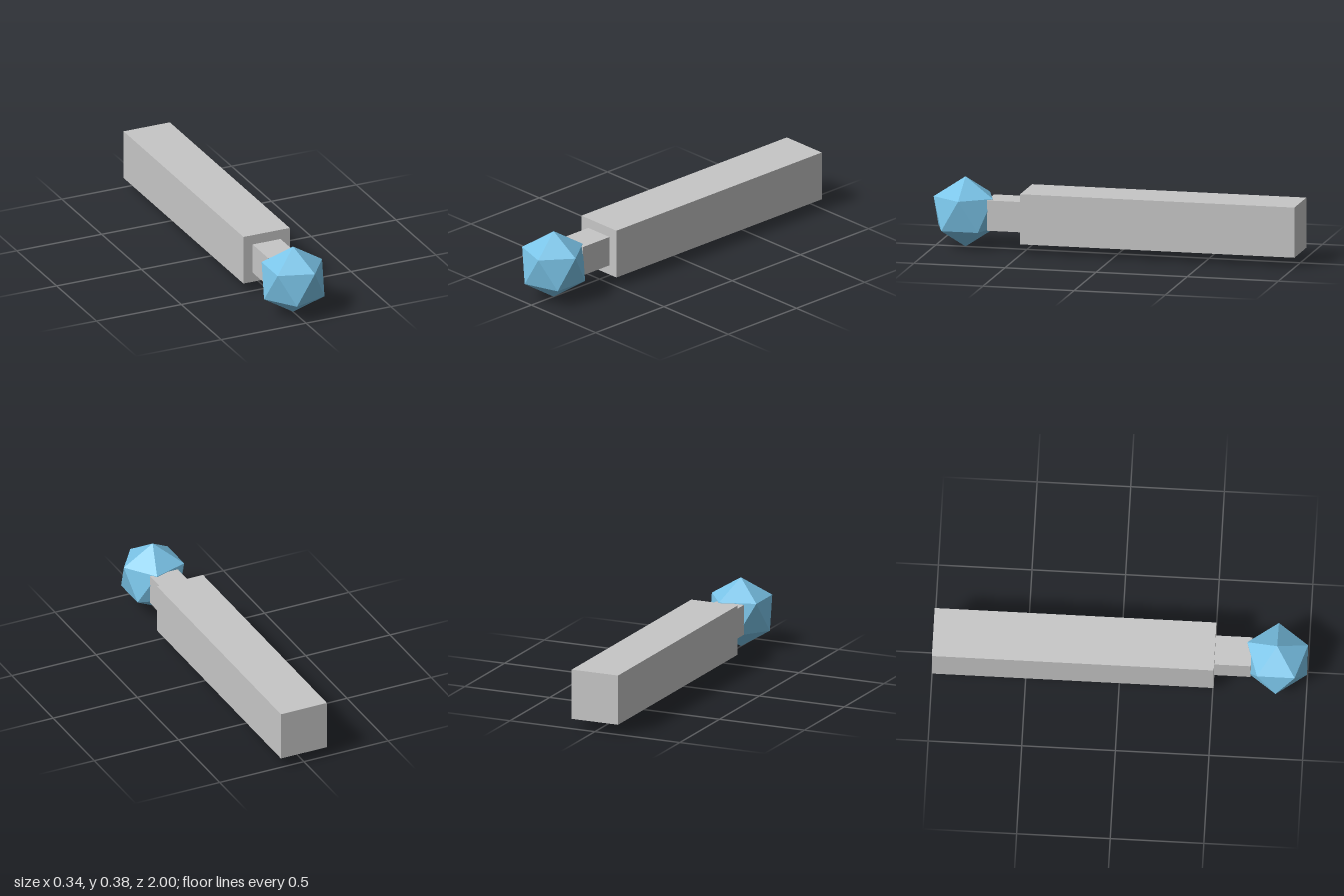
import * as THREE from 'three';

export function createModel() {
  const model = new THREE.Group();
  const grey = new THREE.MeshStandardMaterial({ color: 0xc6c6c6 });
  grey.name = 'light grey';
  const blue = new THREE.MeshStandardMaterial({ color: 0x7ac4e8, flatShading: true });
  blue.name = 'sky blue';

  const midY = 0.193;

  // Square bar running along z between two ends
  function bar(name, width, zBack, zFront) {
    const mesh = new THREE.Mesh(new THREE.BoxGeometry(width, width, zFront - zBack), grey);
    mesh.name = name;
    mesh.position.set(0, midY, (zBack + zFront) / 2);
    model.add(mesh);
  }
  bar('handle', 0.273, -1, 0.505);
  bar('neck', 0.165, 0.5, 0.7);

  // Faceted gem, turned so that one corner points straight up
  const gem = new THREE.IcosahedronGeometry(0.191, 0);
  gem.rotateZ(-Math.atan(2 / (1 + Math.sqrt(5))));
  const tip = new THREE.Mesh(gem, blue);
  tip.name = 'gemTip';
  tip.position.set(0, midY, 0.837);
  model.add(tip);

  return model;
}
